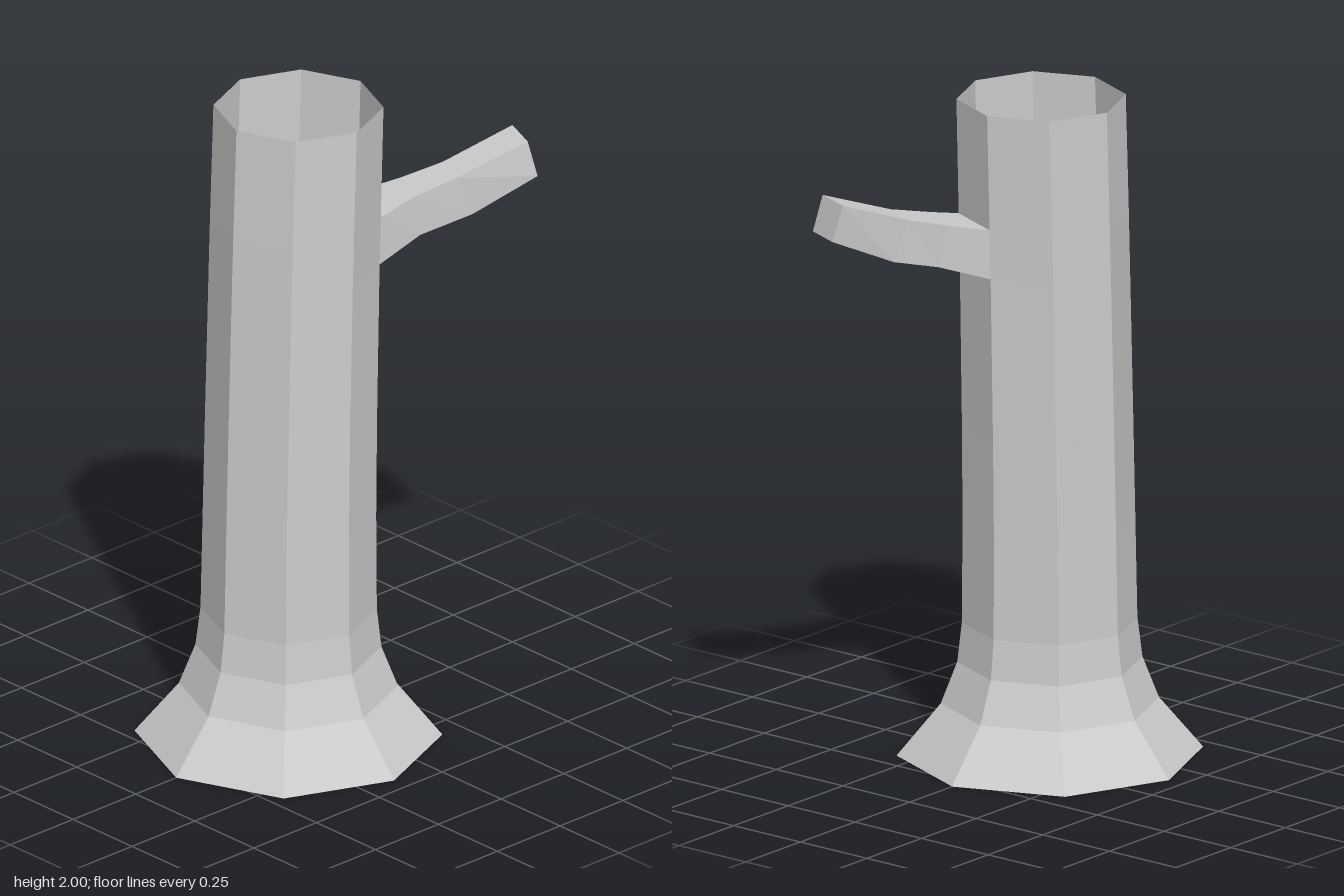
import * as THREE from 'three';

const SIDES = 8;

// Skin a stack of rings; skip(i, j) leaves a panel open, cap closes the last ring
function loft(name, rings, { skip = () => false, cap = false } = {}) {
  const n = rings[0].length;
  const pos = rings.flat(2);
  const index = [];
  for (let i = 0; i < rings.length - 1; i++) {
    for (let j = 0; j < n; j++) {
      if (skip(i, j)) continue;
      const k = (j + 1) % n;
      const a = i * n + j, b = i * n + k, c = a + n, d = b + n;
      index.push(a, c, b, b, c, d);
    }
  }
  if (cap) {
    const o = (rings.length - 1) * n;
    for (let j = 1; j < n - 1; j++) index.push(o, o + j + 1, o + j);
  }
  const geometry = new THREE.BufferGeometry();
  geometry.setAttribute('position', new THREE.Float32BufferAttribute(pos, 3));
  geometry.setIndex(index);
  geometry.computeVertexNormals();
  const mesh = new THREE.Mesh(geometry, new THREE.MeshStandardMaterial({
    color: 0xcccccc, flatShading: true, side: THREE.DoubleSide,
  }));
  mesh.name = name;
  return mesh;
}

// Octagonal trunk ring
function trunkRing([y, r, cx]) {
  return Array.from({ length: SIDES }, (_, j) => {
    const a = (j / SIDES) * Math.PI * 2;
    return [cx + r * Math.cos(a), y, r * Math.sin(a)];
  });
}

export function createModel() {
  const group = new THREE.Group();
  group.name = 'hollowTrunk';

  // Trunk profile: height, radius, centre x (leaning slightly)
  const trunk = [
    [0, 0.447, -0.142],
    [0.155, 0.318, -0.142],
    [0.28, 0.27, -0.142],
    [0.4, 0.256, -0.141],
    [0.7, 0.252, -0.138],
    [1.0, 0.25, -0.132],
    [1.5, 0.248, -0.119],
    [1.65, 0.248, -0.114],
    [2.0, 0.247, -0.102],
  ].map(trunkRing);

  // The branch grows out of one panel of the trunk
  const row = 6;
  group.add(loft('trunk', trunk, { skip: (i, j) => i === row && j === 0 }));

  // Branch sections: top front, top back, bottom back, bottom front
  const low = trunk[row], high = trunk[row + 1];
  const branch = [
    [high[1], high[0], low[0], low[1]],
    [[0.18, 1.68, 0.188], [0.25, 1.68, 0.065], [0.27, 1.555, 0.08], [0.2, 1.555, 0.195]],
    [[0.31, 1.712, 0.227], [0.36, 1.712, 0.12], [0.4, 1.59, 0.14], [0.36, 1.588, 0.247]],
    [[0.52, 1.79, 0.31], [0.565, 1.79, 0.197], [0.585, 1.68, 0.22], [0.54, 1.68, 0.33]],
  ];
  group.add(loft('branch', branch, { cap: true }));

  return group;
}
